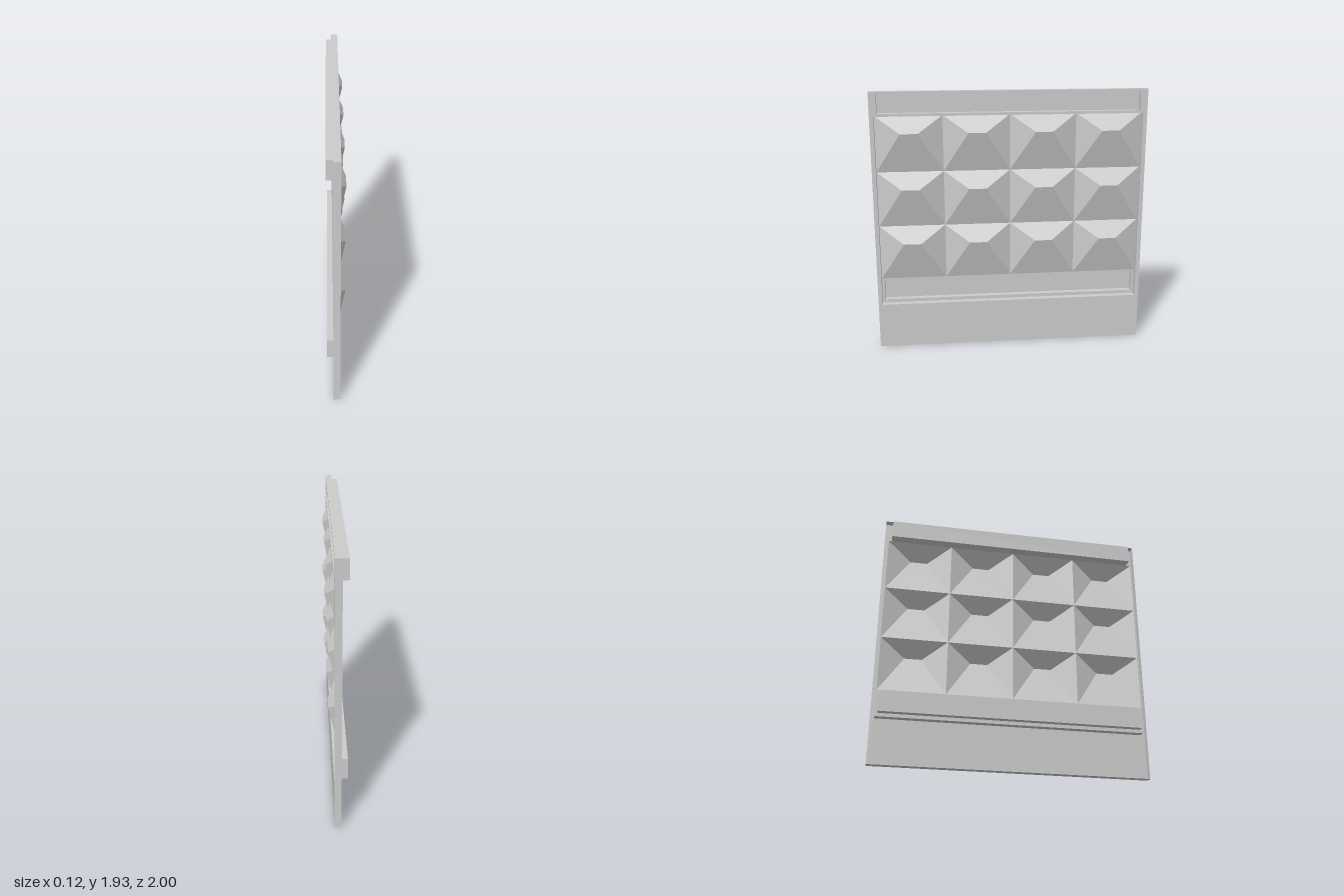
import * as THREE from 'three';

const FRONT = 0.025, BACK = -0.022, DEEP = -0.065, RIDGE = 0.06;
const OUTER = [-1, 0, 1, 1.935];
const WINDOW = [-0.97, 0.34, 0.97, 1.76];
const TOP_SLOT = [-0.947, 1.78, 0.947, 1.915];
const LOW_SLOT = [-0.95, 0.365, 0.95, 0.52];
const TILES_BOTTOM = 0.535;

const material = new THREE.MeshStandardMaterial({
  color: 0xcccccc, side: THREE.DoubleSide, flatShading: true,
});

// Corners of a rectangle [x0, y0, x1, y1], counter-clockwise
const corners = ([x0, y0, x1, y1]) => [[x0, y0], [x1, y0], [x1, y1], [x0, y1]];

// Flat sheet with rectangular openings
function sheet(rect, z, holes = []) {
  const outline = (r) => corners(r).map(([x, y]) => new THREE.Vector2(x, y));
  const shape = new THREE.Shape(outline(rect));
  for (const h of holes) shape.holes.push(new THREE.Path(outline(h).reverse()));
  return new THREE.ShapeGeometry(shape).translate(0, 0, z);
}

// Geometry from convex polygons, each split into a fan of triangles
function polygons(list) {
  const pos = [];
  for (const p of list) {
    for (let i = 1; i < p.length - 1; i++) pos.push(...p[0], ...p[i], ...p[i + 1]);
  }
  const g = new THREE.BufferGeometry();
  g.setAttribute('position', new THREE.Float32BufferAttribute(pos, 3));
  g.computeVertexNormals();
  return g;
}

// Four walls around a rectangle, running from depth za to zb
function walls(rect, za, zb) {
  const c = corners(rect);
  return polygons(c.map(([x, y], i) => {
    const [u, v] = c[(i + 1) % 4];
    return [[x, y, zb], [u, v, zb], [u, v, za], [x, y, za]];
  }));
}

// Hipped tile: ridge above the middle, steep top and long lower slope
function tile(x, y, w, h) {
  const a = [x, y, BACK], b = [x + w, y, BACK];
  const c = [x + w, y + h, BACK], d = [x, y + h, BACK];
  const ry = y + h * 0.705;
  const l = [x + w * 0.37, ry, RIDGE], r = [x + w * 0.63, ry, RIDGE];
  return polygons([[a, b, r, l], [b, c, r], [c, d, l, r], [d, a, l]]);
}

export function createModel() {
  const model = new THREE.Group();
  model.name = 'wallPanel';
  // Built facing +z, then turned to face +x
  const panel = new THREE.Group();
  panel.name = 'panel';
  panel.rotation.y = Math.PI / 2;
  model.add(panel);
  const add = (name, geometry, parent = panel) => {
    const mesh = new THREE.Mesh(geometry, material);
    mesh.name = name;
    parent.add(mesh);
  };

  // Pressed shell, open at the back
  add('frontSheet', sheet(OUTER, FRONT, [WINDOW, TOP_SLOT]));
  add('edgeFlange', walls(OUTER, FRONT, BACK));
  add('windowWalls', walls(WINDOW, FRONT, BACK));

  // Upper rail behind its shallow slot
  add('upperRailWalls', walls(TOP_SLOT, FRONT, DEEP));
  add('upperSlotFloor', sheet(TOP_SLOT, BACK));
  add('upperRailBack', sheet(TOP_SLOT, DEEP));

  // Lower rail, a tray sunk into the strip under the tiles
  const strip = [WINDOW[0], WINDOW[1], WINDOW[2], TILES_BOTTOM];
  add('lowerStrip', sheet(strip, BACK, [LOW_SLOT]));
  add('lowerRailWalls', walls(LOW_SLOT, BACK, DEEP));
  add('lowerRailBack', sheet(LOW_SLOT, DEEP));

  // Grid of raised tiles, hollow from behind
  const tiles = new THREE.Group();
  tiles.name = 'tiles';
  panel.add(tiles);
  const cols = 4, rows = 3;
  const w = (WINDOW[2] - WINDOW[0]) / cols, h = (WINDOW[3] - TILES_BOTTOM) / rows;
  for (let j = 0; j < rows; j++) {
    for (let i = 0; i < cols; i++) {
      add('tile', tile(WINDOW[0] + i * w, TILES_BOTTOM + j * h, w, h), tiles);
    }
  }
  return model;
}
